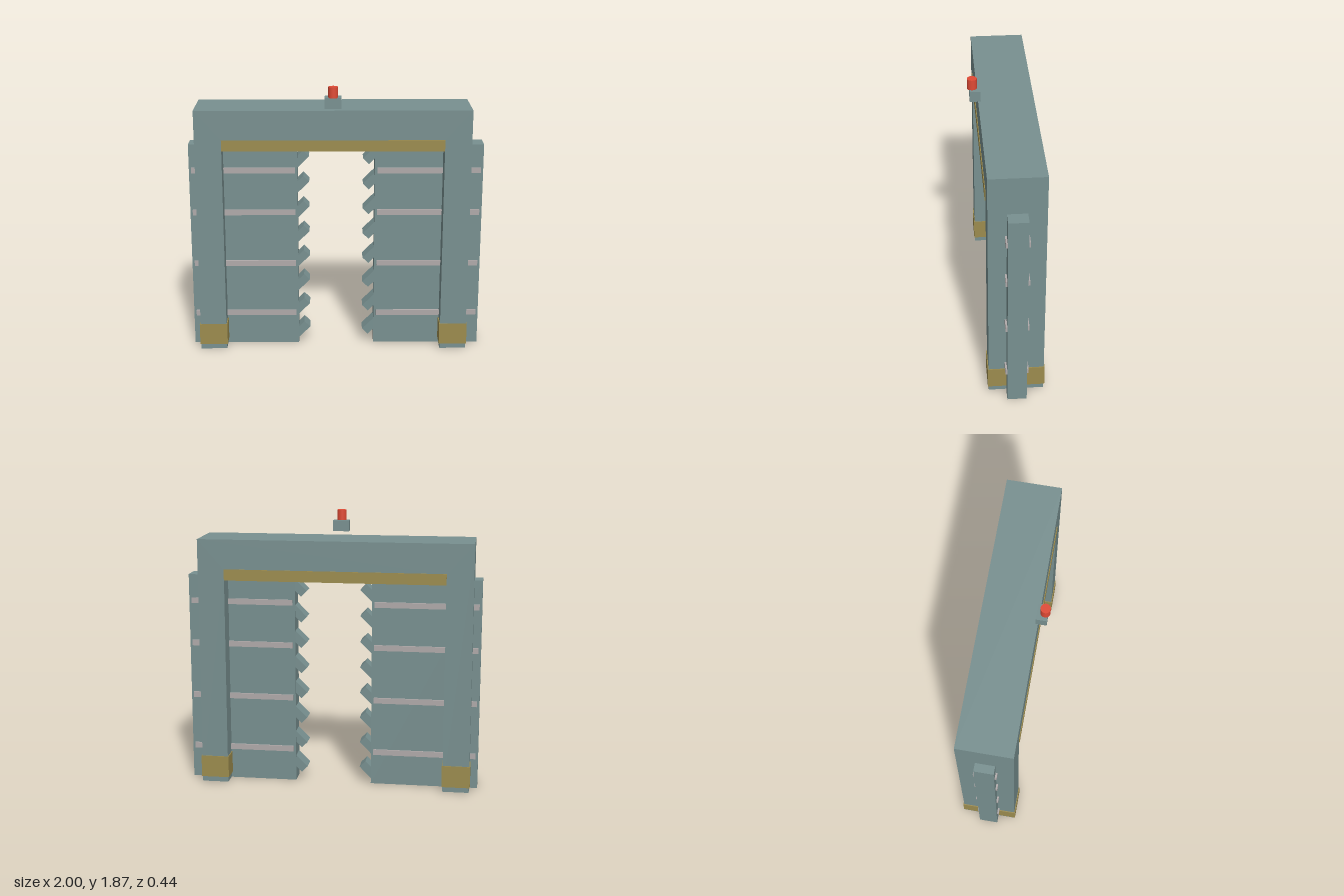
import * as THREE from 'three';

const mat = (color) => new THREE.MeshStandardMaterial({ color });

export function createModel() {
  const model = new THREE.Group();
  const steel = mat(0x789090), brass = mat(0x9c8c4e), rail = mat(0xb0aaaa), red = mat(0xe04a35);

  // Box given by its limits on each axis
  const box = (name, material, [x0, x1], [y0, y1], [z0, z1], parent = model) => {
    const mesh = new THREE.Mesh(new THREE.BoxGeometry(x1 - x0, y1 - y0, z1 - z0), material);
    mesh.position.set((x0 + x1) / 2, (y0 + y1) / 2, (z0 + z1) / 2);
    mesh.name = name;
    parent.add(mesh);
    return mesh;
  };

  // Door frame: one arch-shaped extrusion
  const outline = [[-0.945, 0.005], [-0.765, 0.005], [-0.765, 1.5], [0.725, 1.5],
    [0.725, 0.005], [0.905, 0.005], [0.905, 1.705], [-0.945, 1.705]];
  const shape = new THREE.Shape(outline.map(([x, y]) => new THREE.Vector2(x, y)));
  const frame = new THREE.Mesh(
    new THREE.ExtrudeGeometry(shape, { depth: 0.367, bevelEnabled: false }), steel);
  frame.position.z = -0.217;
  frame.name = 'doorFrame';
  model.add(frame);

  // Brass trim under the lintel and around the feet
  box('lintelTrim', brass, [-0.765, 0.725], [1.43, 1.505], [-0.222, 0.155]);
  box('rightFootBand', brass, [-0.951, -0.759], [0.04, 0.19], [-0.223, 0.156]);
  box('leftFootBand', brass, [0.719, 0.911], [0.04, 0.19], [-0.223, 0.156]);

  // Two sliding doors with rails and interlocking teeth
  for (const side of [-1, 1]) {
    const door = new THREE.Group();
    door.name = side < 0 ? 'rightDoor' : 'leftDoor';
    model.add(door);
    const span = (a, b) => (side < 0 ? [-b, -a] : [a, b]);
    box('doorPanel', steel, span(0.263, 1), [0, 1.447], [-0.097, 0.032], door);
    for (const y of [0.23, 0.6, 0.97, 1.267])
      box('doorRail', rail, span(0.28, 0.983), [y - 0.019, y + 0.019], [-0.109, 0.044], door);
    for (let i = 0; i < 8; i++) {
      const tooth = new THREE.Mesh(new THREE.BoxGeometry(0.12, 0.057, 0.115), steel);
      const y = (side < 0 ? 0.113 : 0.122) + i * 0.1783;
      tooth.position.set(side * 0.246, y - (side < 0 ? 0.02 : 0), -0.033);
      tooth.rotation.z = Math.PI / 4;
      tooth.name = 'doorTooth';
      door.add(tooth);
    }
  }

  // Warning lamp floating above the lintel
  box('lampBase', steel, [-0.075, 0.035], [1.73, 1.803], [0.135, 0.206]);
  const lamp = new THREE.Mesh(new THREE.CylinderGeometry(0.032, 0.032, 0.072, 24), red);
  lamp.position.set(-0.02, 1.837, 0.188);
  lamp.name = 'warningLamp';
  model.add(lamp);

  return model;
}
